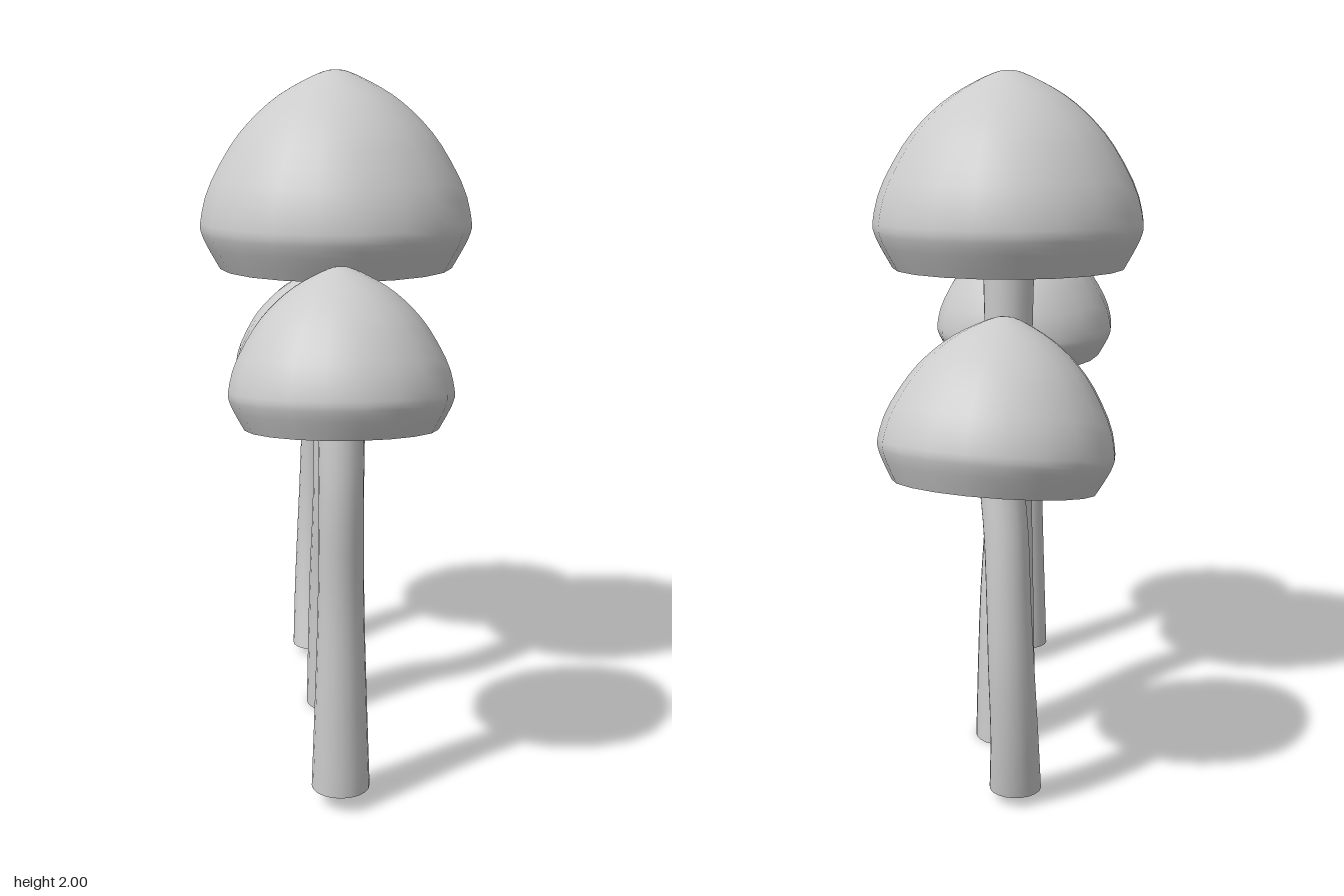
import * as THREE from 'three';
import { mergeVertices } from 'three/addons/utils/BufferGeometryUtils.js';

const material = new THREE.MeshStandardMaterial({ color: 0xcccccc, side: THREE.DoubleSide });
const SIDES = 20;

// Cap profile from rim to tip: radius, height above the rim
const CAP = [[0.344, 0], [0.375, 0.055], [0.396, 0.1], [0.4, 0.14], [0.376, 0.235], [0.31, 0.355],
  [0.245, 0.433], [0.172, 0.495], [0.09, 0.542], [0.03, 0.567], [0, 0.57]];

function lathe(points, name) {
  const mesh = new THREE.Mesh(new THREE.LatheGeometry(points, SIDES, Math.PI / SIDES), material);
  mesh.name = name;
  return mesh;
}

// Pointed dome with a shallow hollow underneath
function makeCap(size, position, tiltX, tiltZ) {
  const cap = new THREE.Group();
  cap.name = 'cap';
  const curve = new THREE.SplineCurve(CAP.map(([r, y]) => new THREE.Vector2(r, y)));
  const profile = curve.getPoints(24);
  profile.forEach((p) => { p.x = Math.max(0, p.x); });
  cap.add(lathe(profile, 'capTop'));
  cap.add(lathe([new THREE.Vector2(0, 0.1), new THREE.Vector2(CAP[0][0], 0)], 'capUnderside'));
  cap.scale.setScalar(size);
  cap.position.set(...position);
  cap.rotation.set(tiltX, 0, tiltZ);
  return cap;
}

// Open tube whose level rings follow a curve; each ring is [x, y, z, radius]
function makeStem(rings) {
  const path = new THREE.CatmullRomCurve3(rings.map(([x, y, z]) => new THREE.Vector3(x, y, z)));
  const radii = new THREE.CatmullRomCurve3(rings.map((g) => new THREE.Vector3(g[3], g[1], 0)));
  let geometry = new THREE.CylinderGeometry(1, 1, 1, SIDES, 20, true);
  geometry.deleteAttribute('uv');
  geometry = mergeVertices(geometry);
  const pos = geometry.attributes.position;
  for (let i = 0; i < pos.count; i++) {
    const t = THREE.MathUtils.clamp(pos.getY(i) + 0.5, 0, 1);
    const c = path.getPoint(t);
    const r = radii.getPoint(t).x;
    pos.setXYZ(i, c.x + pos.getX(i) * r, c.y, c.z + pos.getZ(i) * r);
  }
  geometry.computeVertexNormals();
  const stem = new THREE.Mesh(geometry, material);
  stem.name = 'stem';
  return stem;
}

const MUSHROOMS = [
  {
    name: 'tallMushroom', size: 1, cap: [0, 1.43, -0.01], tilt: [0, 0],
    stem: [[0, 0, -0.108, 0.092], [0, 0.22, -0.102, 0.087], [0, 0.45, -0.078, 0.081], [0, 0.65, -0.025, 0.073],
      [0, 0.8, 0, 0.069], [0, 1, -0.003, 0.069], [0, 1.2, -0.016, 0.071], [0, 1.43, -0.018, 0.076], [0, 1.52, -0.018, 0.077]],
  },
  {
    name: 'frontMushroom', size: 0.74, cap: [0, 1.083, 0.6], tilt: [-0.115, 0],
    stem: [[0, 0.05, 0.57, 0.081], [0, 0.3, 0.58, 0.072], [0, 0.6, 0.59, 0.063], [0, 0.9, 0.613, 0.06],
      [0, 1.08, 0.6, 0.062], [0, 1.15, 0.592, 0.062]],
  },
  {
    name: 'backMushroom', size: 0.79, cap: [-0.012, 0.906, -0.58], tilt: [0.14, 0.06],
    stem: [[-0.065, 0.03, -0.535, 0.072], [-0.066, 0.2, -0.577, 0.066], [-0.06, 0.4, -0.605, 0.063],
      [-0.053, 0.6, -0.608, 0.06], [-0.045, 0.78, -0.594, 0.06], [-0.03, 0.92, -0.572, 0.06], [-0.022, 0.98, -0.564, 0.06]],
  },
];

export function createModel() {
  const model = new THREE.Group();
  model.name = 'mushrooms';
  for (const m of MUSHROOMS) {
    const group = new THREE.Group();
    group.name = m.name;
    group.add(makeStem(m.stem), makeCap(m.size, m.cap, ...m.tilt));
    model.add(group);
  }
  return model;
}
